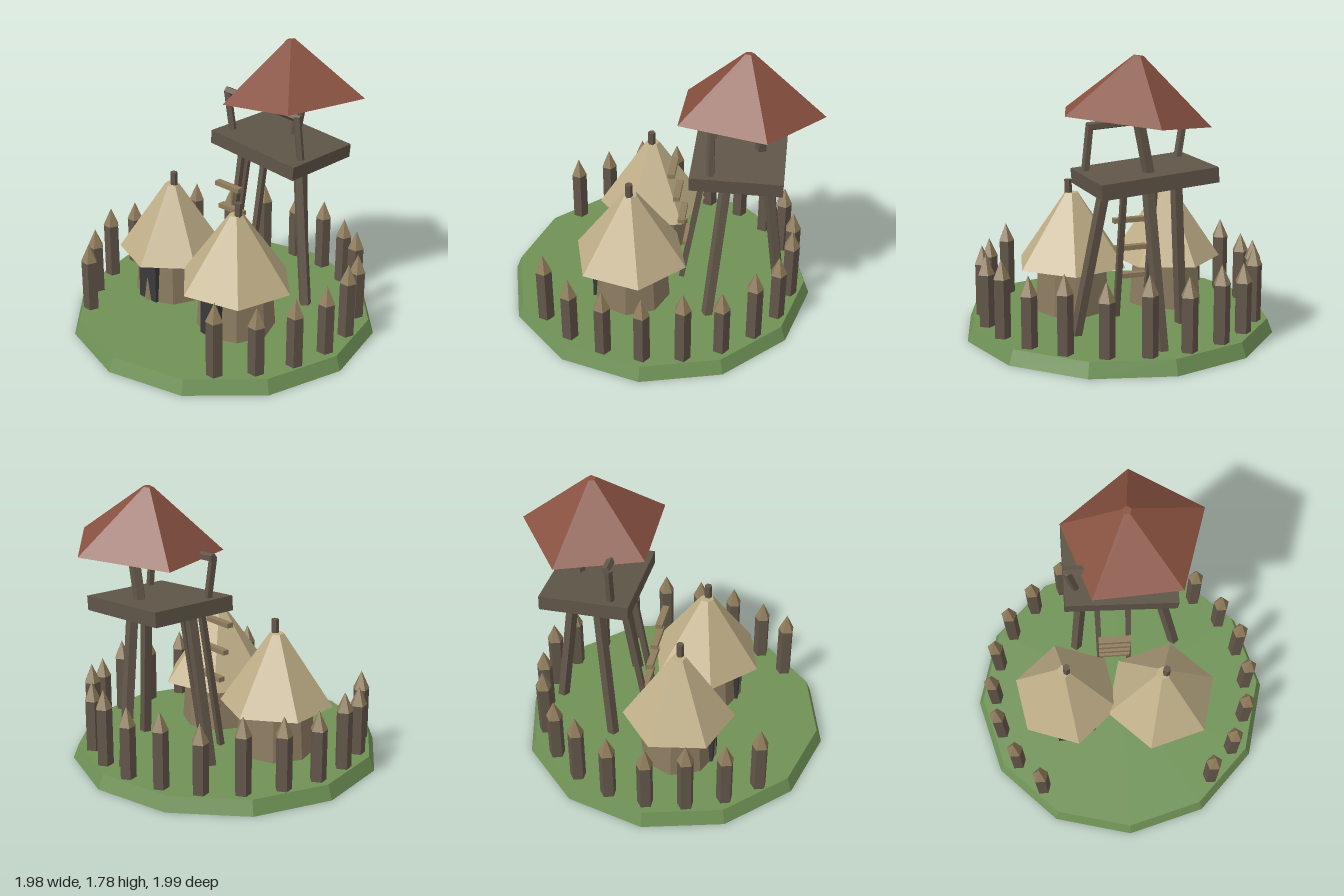
import * as THREE from 'three';

const mat = (name, color) => {
  const m = new THREE.MeshStandardMaterial({ color, flatShading: true });
  m.name = name;
  return m;
};

export function createModel() {
  const grass = mat('grass', 0x6f9256);
  const wood = mat('dark wood', 0x63574a);
  const plank = mat('platform wood', 0x5f5548);
  const tan = mat('light wood', 0x8f7c5c);
  const wall = mat('hut wall', 0x8b7b60);
  const thatch = mat('thatch', 0xbfae87);
  const doorDark = mat('door', 0x3a3a3c);
  const tile = mat('red roof', 0x87503f);

  const model = new THREE.Group();
  const add = (parent, name, geometry, material, x, y, z) => {
    const mesh = new THREE.Mesh(geometry, material);
    mesh.name = name;
    mesh.position.set(x, y, z);
    parent.add(mesh);
    return mesh;
  };
  // Faceted pole between two points
  const pole = (parent, name, a, b, r, sides = 5, rTop = r) => {
    const from = new THREE.Vector3(...a), to = new THREE.Vector3(...b);
    const dir = to.clone().sub(from);
    const mid = from.add(to).multiplyScalar(0.5);
    const geo = new THREE.CylinderGeometry(rTop, r, dir.length(), sides);
    const mesh = add(parent, name, geo, wood, mid.x, mid.y, mid.z);
    mesh.quaternion.setFromUnitVectors(new THREE.Vector3(0, 1, 0), dir.normalize());
    return mesh;
  };

  // Ground disc
  add(model, 'ground', new THREE.CylinderGeometry(0.955, 0.99, 0.09, 12), grass, 0, 0.045, 0);

  // Palisade: ring of stakes, open at the front
  const fence = new THREE.Group();
  fence.name = 'palisade';
  model.add(fence);
  const rightTips = [0.57, 0.525, 0.54, 0.54, 0.575, 0.525, 0.57, 0.54, 0.575];
  const leftTips = [0.545, 0.53, 0.575, 0.53, 0.545, 0.57, 0.525, 0.57, 0.54];
  const step = (Math.PI * 2) / 22;
  for (const [side, tips] of [[1, rightTips], [-1, leftTips]]) {
    tips.forEach((tip, i) => {
      const a = (3 - i) * step;
      const x = side * 0.865 * Math.cos(a), z = 0.865 * Math.sin(a);
      const shoulder = tip - 0.12;
      const body = new THREE.CylinderGeometry(0.052, 0.052, shoulder - 0.08, 5).rotateY(Math.PI);
      add(fence, 'stake', body, wood, x, (shoulder + 0.08) / 2, z);
      add(fence, 'stakeTip', new THREE.ConeGeometry(0.055, 0.12, 5).rotateY(Math.PI), tan, x, tip - 0.06, z);
    });
  }

  // Huts
  const hut = (name, x, z, roofRadius, turn) => {
    const g = new THREE.Group();
    g.name = name;
    g.position.set(x, 0, z);
    model.add(g);
    add(g, 'wall', new THREE.CylinderGeometry(0.225, 0.25, 0.32, 8), wall, 0, 0.26, 0);
    add(g, 'thatchRoof', new THREE.CylinderGeometry(0.045, roofRadius, 0.46, 6).rotateY(turn), thatch, 0, 0.63, 0);
    add(g, 'door', new THREE.BoxGeometry(0.156, 0.275, 0.04), doorDark, 0, 0.238, 0.217);
    pole(g, 'chimney', [0.018, 0.78, 0.003], [0.022, 0.945, 0.003], 0.024, 6);
  };
  hut('leftHut', 0.26, 0.155, 0.374, -0.25);
  hut('rightHut', -0.367, 0.103, 0.355, 0.18);

  // Watchtower
  const tower = new THREE.Group();
  tower.name = 'watchtower';
  model.add(tower);

  // Splayed tripod legs
  pole(tower, 'leg', [-0.29, 0.08, -0.355], [-0.21, 1.06, -0.44], 0.04);
  pole(tower, 'leg', [0.4, 0.08, -0.355], [0.235, 1.04, -0.44], 0.04);
  pole(tower, 'leg', [0.01, 0.08, -0.785], [0.06, 1.05, -0.665], 0.04);

  // Crooked platform
  const deck = add(tower, 'platform', new THREE.BoxGeometry(0.715, 0.09, 0.56), plank, 0.025, 1.075, -0.5);
  deck.rotation.z = -0.083;

  // Roof posts and front beam
  pole(tower, 'roofPost', [-0.255, 1.12, -0.345], [-0.3, 1.39, -0.34], 0.026);
  pole(tower, 'roofPost', [0.335, 1.06, -0.345], [0.3, 1.37, -0.34], 0.026);
  pole(tower, 'backRoofPost', [0.035, 1.09, -0.627], [0.105, 1.43, -0.627], 0.038);
  pole(tower, 'beam', [-0.318, 1.395, -0.352], [0.322, 1.355, -0.352], 0.027);

  // Tilted five-sided roof
  const roof = add(tower, 'towerRoof',
    new THREE.CylinderGeometry(0.03, 0.47, 0.365, 5).rotateY(Math.PI), tile, 0.094, 1.598, -0.53);
  roof.rotation.z = 0.118;

  // Ladder
  const ladder = new THREE.Group();
  ladder.name = 'ladder';
  tower.add(ladder);
  for (const x of [-0.13, 0.068]) {
    const rail = add(ladder, 'ladderRail', new THREE.BoxGeometry(0.035, 0.95, 0.035), wood, x, 0.58, -0.227);
    rail.rotation.x = -0.163;
  }
  for (let i = 0; i < 4; i++) {
    add(ladder, 'rung', new THREE.BoxGeometry(0.205, 0.03, 0.043), tan, -0.03, 0.375 + i * 0.17, -0.175 + i * 0.033);
  }
  return model;
}
